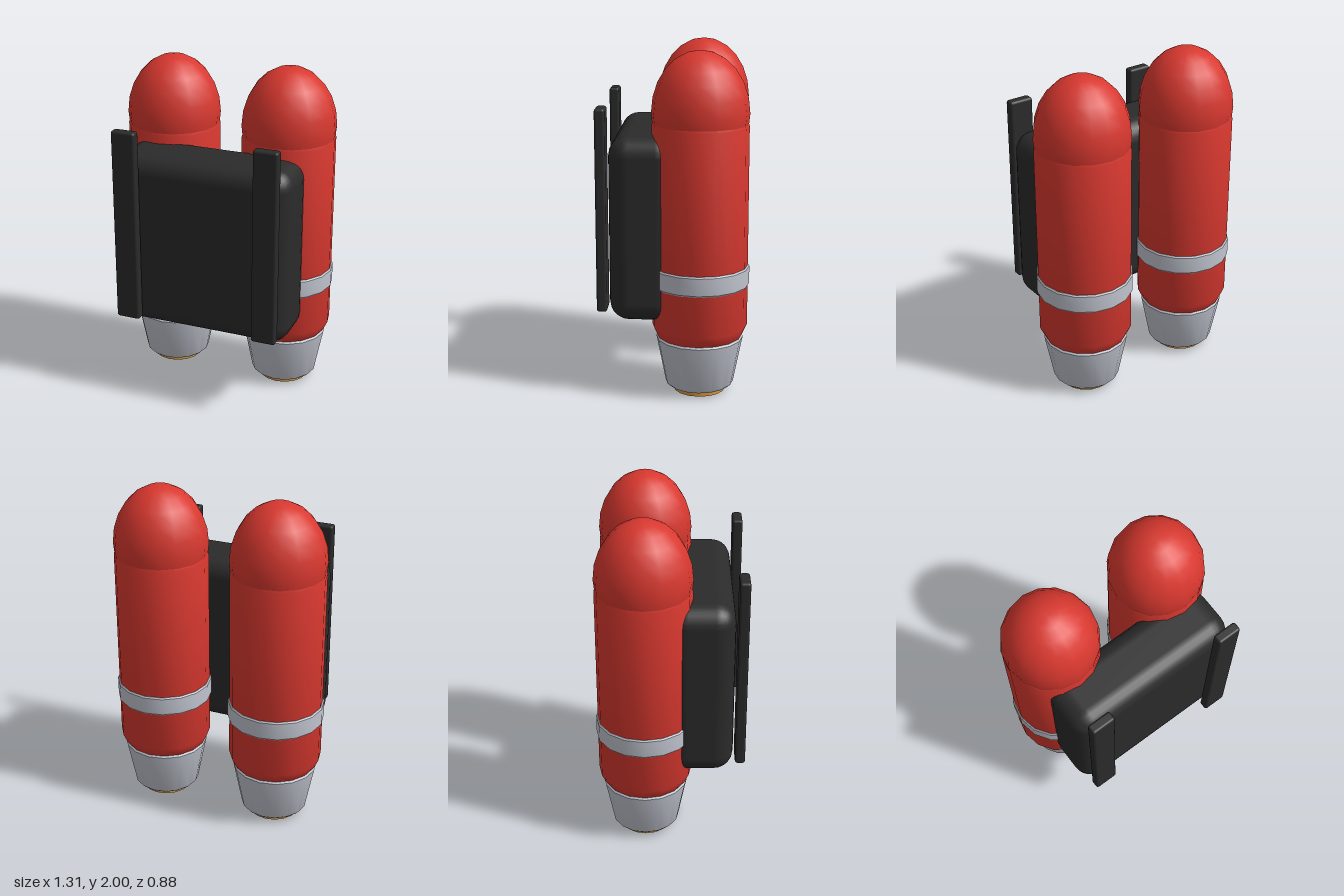
import * as THREE from 'three';
import { toCreasedNormals } from 'three/addons/utils/BufferGeometryUtils.js';
import { RoundedBoxGeometry } from 'three/addons/geometries/RoundedBoxGeometry.js';

const SIDES = 16;

function material(name, color) {
  const m = new THREE.MeshStandardMaterial({ color });
  m.name = name;
  return m;
}

// Turned part from [radius, height] points, listed bottom to top
function turned(name, profile, mat) {
  const points = profile.map(([r, y]) => new THREE.Vector2(r, y));
  const geometry = toCreasedNormals(new THREE.LatheGeometry(points, SIDES), 0.6);
  const mesh = new THREE.Mesh(geometry, mat);
  mesh.name = name;
  return mesh;
}

function roundedBox(name, size, position, radius, segments, mat) {
  const mesh = new THREE.Mesh(new RoundedBoxGeometry(...size, segments, radius), mat);
  mesh.position.set(...position);
  mesh.name = name;
  return mesh;
}

export function createModel() {
  const red = material('tank red', 0xd8382f);
  const grey = material('metal grey', 0xc0c4ce);
  const dark = material('pack black', 0x2b2b2b);
  const gold = material('burner gold', 0xd6993f);

  const model = new THREE.Group();
  model.name = 'jetpack';

  // Main pack between the tanks
  model.add(roundedBox('pack', [1.08, 1.08, 0.385], [0, 0.985, 0.175], 0.115, 3, dark));

  for (const side of [1, -1]) {
    const tank = new THREE.Group();
    tank.name = side > 0 ? 'leftTank' : 'rightTank';
    tank.position.set(side * 0.367, 0, -0.152);

    // Cylinder body with a tapered foot and a slight shoulder
    tank.add(turned('tankBody', [
      [0, 0.335], [0.245, 0.335], [0.254, 0.348], [0.278, 0.4],
      [0.278, 1.575], [0.27, 1.6], [0, 1.6],
    ], red));

    // Tall dome on top
    const dome = new THREE.Mesh(new THREE.SphereGeometry(0.28, SIDES, 12), red);
    dome.scale.y = 1.27;
    dome.position.y = 1.645;
    dome.name = 'tankDome';
    tank.add(dome);

    // Metal ring around the body
    tank.add(turned('tankBand', [
      [0.26, 0.645], [0.28, 0.645], [0.287, 0.654],
      [0.287, 0.756], [0.28, 0.765], [0.26, 0.765],
    ], grey));

    // Tapered nozzle and burner disc
    tank.add(turned('nozzle', [
      [0, 0.035], [0.185, 0.035], [0.2, 0.05],
      [0.254, 0.325], [0.245, 0.337], [0, 0.337],
    ], grey));
    tank.add(turned('burner', [[0, 0], [0.15, 0], [0.15, 0.05], [0, 0.05]], gold));
    model.add(tank);

    // Shoulder strap in front of the pack
    model.add(roundedBox(side > 0 ? 'leftStrap' : 'rightStrap',
      [0.148, 1.18, 0.06], [side * 0.431, 1.095, 0.408], 0.015, 2, dark));
  }
  return model;
}
